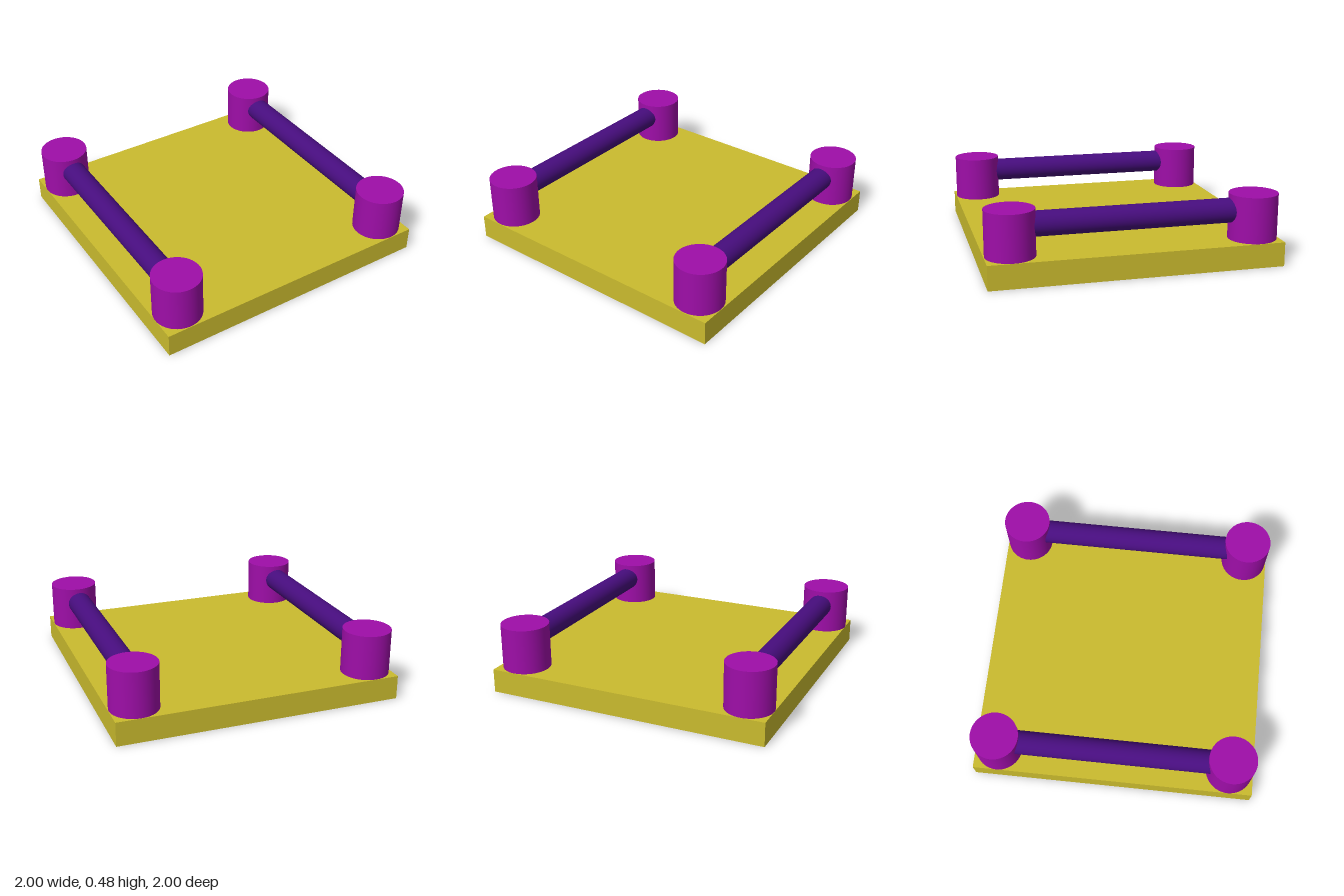
import * as THREE from 'three';

export function createModel() {
  const model = new THREE.Group();
  model.name = 'platformWithRails';

  const material = (name, color) => {
    const m = new THREE.MeshStandardMaterial({ color });
    m.name = name;
    return m;
  };
  const yellow = material('mustard yellow', 0xcabb2e);
  const magenta = material('magenta purple', 0x9e0ea8);
  const indigo = material('dark indigo', 0x470d7e);

  const add = (name, geometry, mat, x, y, z) => {
    const mesh = new THREE.Mesh(geometry, mat);
    mesh.name = name;
    mesh.position.set(x, y, z);
    model.add(mesh);
  };

  // Square base slab
  const baseHeight = 0.167;
  add('base', new THREE.BoxGeometry(2, baseHeight, 2), yellow, 0, baseHeight / 2, 0);

  // Corner posts, slightly sunk into the slab
  const postTop = 0.482, postBottom = 0.15;
  const post = new THREE.CylinderGeometry(0.167, 0.167, postTop - postBottom, 48);

  // Round rails running front to back between the posts
  const rail = new THREE.CylinderGeometry(0.084, 0.084, 1.64, 48).rotateX(Math.PI / 2);

  for (const [side, postX, railX] of [['right', -0.833, -0.833], ['left', 0.83, 0.822]]) {
    add(`${side}FrontPost`, post, magenta, postX, (postTop + postBottom) / 2, 0.828);
    add(`${side}BackPost`, post, magenta, postX, (postTop + postBottom) / 2, -0.831);
    add(`${side}Rail`, rail, indigo, railX, 0.367, 0);
  }

  return model;
}
